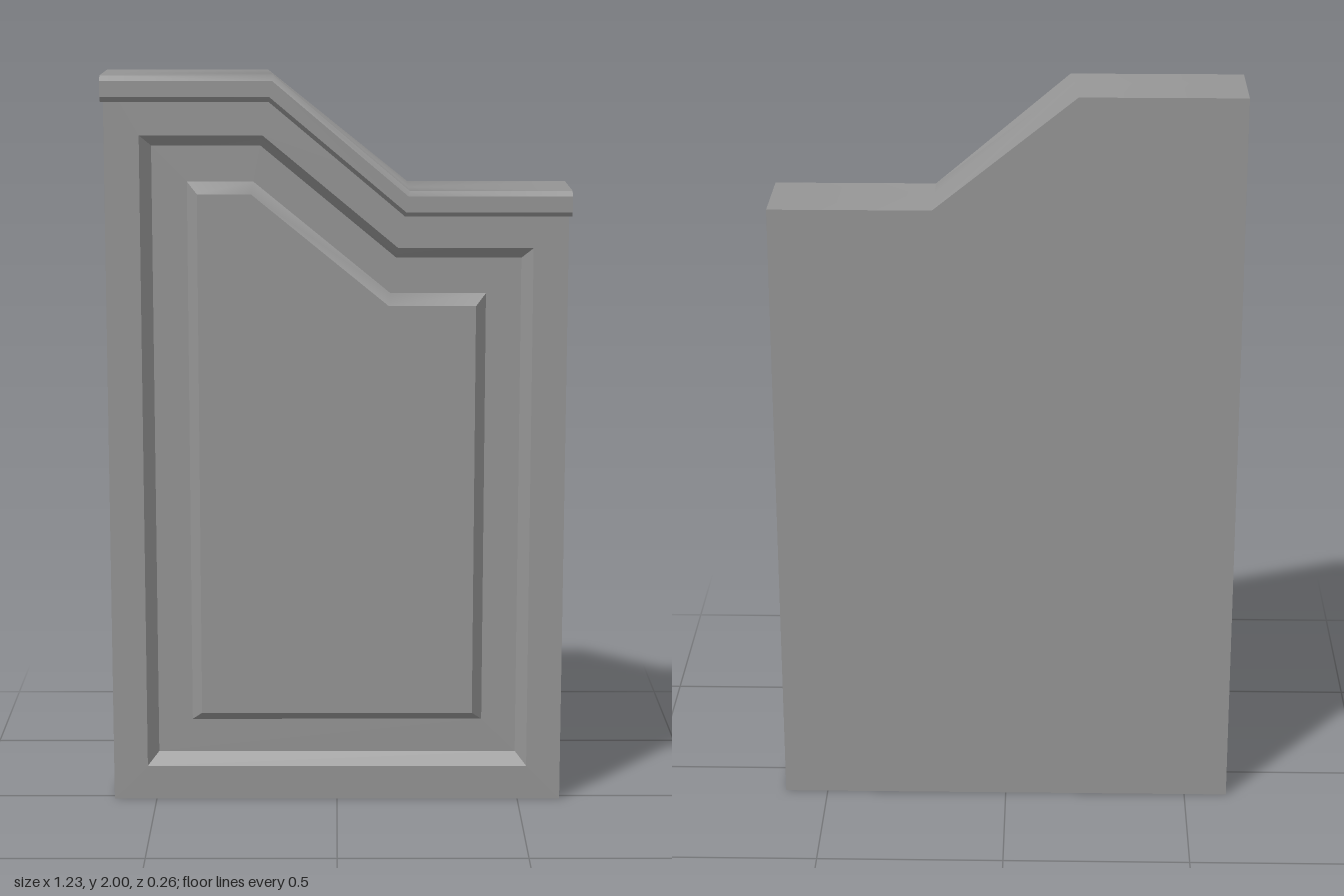
import * as THREE from 'three';
import { toCreasedNormals } from 'three/addons/utils/BufferGeometryUtils.js';

const HALF = 0.617, BACK = -0.13, FACE = 0.025, NOSE = 0.13, RECESS = -0.01;
// The upper bend of the top sits slightly further out towards the back
const BACK_SKEW = 0.02, FACE_SKEW = 0.007;
// Keeps bevels sharp but blends the gentle bends along the stepped top
const CREASE = THREE.MathUtils.degToRad(41);

// Stepped top line, lowered by "drop" and pulled in from both sides; runs left to right in x
const topLine = (side, drop, z, skew = 0) => [
  [-HALF + side, 2 - drop, z],
  [-0.165 - 0.2 * drop - skew, 2 - drop, z],
  [0.19 - 0.16 * drop, 1.7 - drop, z],
  [HALF - side, 1.7 - drop, z],
];

// Closed door outline, counter-clockwise from the front
const outline = (side, bottom, drop, z, skew) => [
  [-HALF + side, bottom, z],
  [HALF - side, bottom, z],
  ...topLine(side, drop, z, skew).reverse(),
];

// Skins a row of matching closed rings and closes both ends; (u, v) are the axes of the end faces
function loft(name, rings, u, v) {
  const pos = [];
  const tri = (a, b, c) => pos.push(...a, ...b, ...c);
  for (let i = 0; i < rings.length - 1; i++) {
    const r = rings[i], s = rings[i + 1], n = r.length;
    for (let j = 0; j < n; j++) {
      const k = (j + 1) % n;
      tri(r[j], r[k], s[k]);
      tri(r[j], s[k], s[j]);
    }
  }
  const first = rings[0], last = rings[rings.length - 1];
  const faces = (ring) => THREE.ShapeUtils.triangulateShape(
    ring.map((p) => new THREE.Vector2(p[u], p[v])), []);
  for (const [a, b, c] of faces(first)) tri(first[c], first[b], first[a]);
  for (const [a, b, c] of faces(last)) tri(last[a], last[b], last[c]);

  const geo = new THREE.BufferGeometry();
  geo.setAttribute('position', new THREE.Float32BufferAttribute(pos, 3));
  const mesh = new THREE.Mesh(toCreasedNormals(geo, CREASE),
    new THREE.MeshStandardMaterial({ color: 0x949494 }));
  mesh.name = name;
  return mesh;
}

export function createModel() {
  const group = new THREE.Group();
  group.name = 'steppedPanel';

  // Slab with a bevelled recess and a raised centre field
  group.add(loft('panel', [
    outline(0, 0, 0, BACK, BACK_SKEW),
    outline(0, 0, 0, FACE, FACE_SKEW),
    outline(0.093, 0.095, 0.163, FACE),
    outline(0.123, 0.127, 0.193, RECESS),
    outline(0.217, 0.22, 0.289, RECESS),
    outline(0.245, 0.248, 0.319, FACE),
  ], 0, 1));

  // Projecting top moulding with bevelled front edges, following the stepped top
  const section = [
    [0.068, FACE], [0, FACE, FACE_SKEW], [0, NOSE - 0.014],
    [0.014, NOSE], [0.055, NOSE], [0.068, NOSE - 0.013],
  ];
  const lines = section.map(([drop, z, skew]) => topLine(0, drop, z, skew));
  group.add(loft('topMoulding', [0, 1, 2, 3].map((i) => lines.map((l) => l[i])), 1, 2));

  return group;
}
